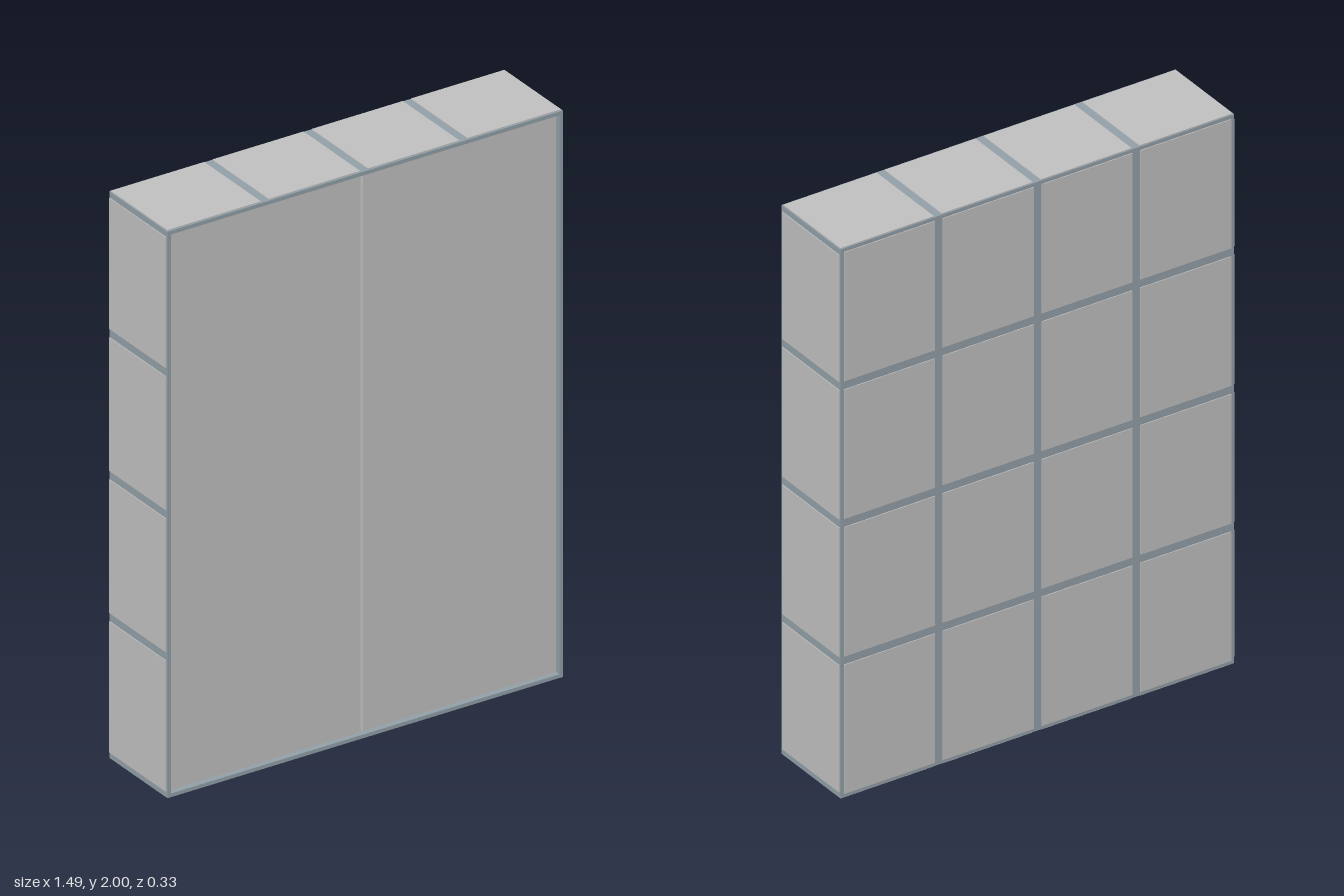
import * as THREE from 'three';

export function createModel() {
  const model = new THREE.Group();
  model.name = 'cabinet';
  const frameMat = new THREE.MeshStandardMaterial({ color: 0x92a0a8 });
  frameMat.name = 'blue grey frame';
  const panelMat = new THREE.MeshStandardMaterial({ color: 0xc0c0c0 });
  panelMat.name = 'light grey panel';

  const W = 1.488, H = 2, D = 0.332; // overall size
  const T = 0.003;                   // panel plate thickness
  const w = W - 2 * T, h = H - 2 * T, rim = 0.016;
  const back = -D / 2 + T, front = D / 2;

  const box = (name, mat, sx, sy, sz, x, y, z) => {
    const mesh = new THREE.Mesh(new THREE.BoxGeometry(sx, sy, sz), mat);
    mesh.name = name;
    mesh.position.set(x, y, z);
    model.add(mesh);
  };

  // Solid carcass behind the doors
  const carcassFront = front - 0.04;
  box('carcass', frameMat, w, h, carcassFront - back, 0, H / 2, (carcassFront + back) / 2);

  // Front rim standing around the recessed doors
  const rimShape = new THREE.Shape();
  rimShape.moveTo(-w / 2, T).lineTo(w / 2, T).lineTo(w / 2, H - T).lineTo(-w / 2, H - T).closePath();
  const a = W / 2 - rim, b = H - rim;
  const opening = new THREE.Path();
  opening.moveTo(-a, rim).lineTo(-a, b).lineTo(a, b).lineTo(a, rim).closePath();
  rimShape.holes.push(opening);
  const rimMesh = new THREE.Mesh(
    new THREE.ExtrudeGeometry(rimShape, { depth: front - carcassFront, bevelEnabled: false }), frameMat);
  rimMesh.name = 'frontRim';
  rimMesh.position.z = carcassFront;
  model.add(rimMesh);

  // Two doors with a narrow gap between them
  const gap = 0.008, doorW = a - gap / 2;
  for (const s of [-1, 1])
    box(s > 0 ? 'leftDoor' : 'rightDoor', panelMat, doorW, b - rim, 0.02,
      s * (gap / 2 + doorW / 2), H / 2, carcassFront + 0.01);

  // Cladding plates divided by the visible frame bars
  const bar = 0.03, edge = 0.006;
  const cells = (start, end, margin) => Array.from({ length: 4 }, (_, i) => {
    const step = (end - start) / 4;
    const lo = start + i * step + (i === 0 ? margin : bar / 2);
    const hi = start + (i + 1) * step - (i === 3 ? margin : bar / 2);
    return { mid: (lo + hi) / 2, size: hi - lo };
  });
  const rows = cells(0, H, 0.024);
  const columns = cells(-W / 2, W / 2, edge);
  for (const s of [-1, 1]) {
    for (const r of rows)
      box(s > 0 ? 'leftSidePanel' : 'rightSidePanel', panelMat, T, r.size, D - 2 * edge,
        s * (W - T) / 2, r.mid, 0);
    for (const c of columns)
      box(s > 0 ? 'topPanel' : 'bottomPanel', panelMat, c.size, T, D - 2 * edge,
        c.mid, s > 0 ? H - T / 2 : T / 2, 0);
  }
  for (const r of cells(0, H, rim))
    for (const c of cells(-W / 2, W / 2, rim))
      box('backPanel', panelMat, c.size, r.size, T, c.mid, r.mid, -D / 2 + T / 2);

  return model;
}
